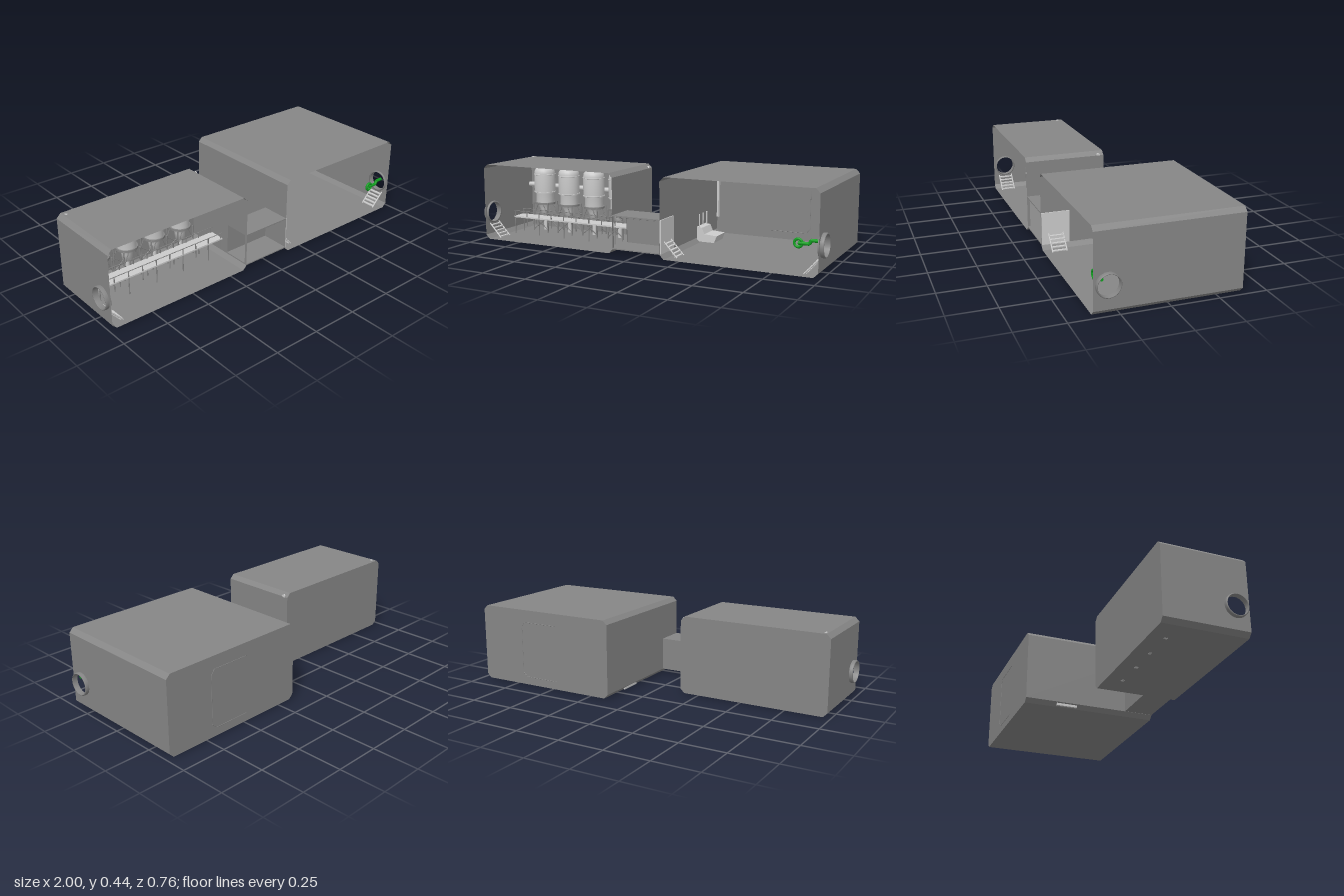
import * as THREE from 'three';

const light = new THREE.MeshStandardMaterial({ color: 0xcccccc, side: THREE.DoubleSide });
const wallMat = new THREE.MeshStandardMaterial({ color: 0x868686, side: THREE.DoubleSide });
const green = new THREE.MeshStandardMaterial({ color: 0x10a020 });
const V = (x, y, z) => new THREE.Vector3(x, y, z);
const H = 0.43, FRONT = 0.375, C = 0.023, DOOR_Y = 0.147, DOOR_Z = 0.303;

function add(parent, name, geo, mat, x = 0, y = 0, z = 0) {
  const m = new THREE.Mesh(geo, mat);
  m.name = name;
  m.position.set(x, y, z);
  parent.add(m);
  return m;
}
const box = (p, name, w, h, d, x, y, z, mat = light) => add(p, name, new THREE.BoxGeometry(w, h, d), mat, x, y, z);

// Straight round bar between two points
function bar(p, name, a, b, r, mat = light, sides = 8) {
  const m = add(p, name, new THREE.CylinderGeometry(r, r, a.distanceTo(b), sides), mat);
  m.position.copy(a).add(b).multiplyScalar(0.5);
  m.quaternion.setFromUnitVectors(V(0, 1, 0), b.clone().sub(a).normalize());
}
function barPath(p, name, pts, r, mat) {
  for (let i = 1; i < pts.length; i++) bar(p, name, pts[i - 1], pts[i], r, mat);
}

// Flat side wall in the z/y plane, with an optional opening
function sideWall(p, x, zBack, hole) {
  const s = new THREE.Shape();
  s.moveTo(-FRONT, C).lineTo(-zBack, C).lineTo(-zBack, H - C).lineTo(-FRONT, H - C).closePath();
  if (hole) s.holes.push(hole);
  add(p, 'sideWall', new THREE.ShapeGeometry(s, 24), wallMat, x).rotation.y = Math.PI / 2;
}

// Room open at the front, with bevelled long edges and a round outer door
function room(name, x0, x1, zBack, outer, innerHole) {
  const g = new THREE.Group();
  g.name = name;
  const outline = [[x0 + C, 0], [x1 - C, 0], [x1, C], [x1, H - C], [x1 - C, H], [x0 + C, H], [x0, H - C], [x0, C]];
  const depth = FRONT - zBack, midZ = (FRONT + zBack) / 2;
  outline.forEach(([ax, ay], i) => {
    const [bx, by] = outline[(i + 1) % 8];
    if (ax === bx) return;
    const m = add(g, 'shellPanel', new THREE.PlaneGeometry(Math.hypot(bx - ax, by - ay), depth).rotateX(-Math.PI / 2),
      wallMat, (ax + bx) / 2, (ay + by) / 2, midZ);
    m.rotation.z = Math.atan2(by - ay, bx - ax);
  });
  const back = new THREE.Shape(outline.map(([x, y]) => new THREE.Vector2(x, y)));
  add(g, 'backWall', new THREE.ShapeGeometry(back), wallMat, 0, 0, zBack);
  const round = new THREE.Path();
  round.absarc(-DOOR_Z, DOOR_Y, 0.056, 0, Math.PI * 2);
  sideWall(g, outer > 0 ? x1 : x0, zBack, round);
  sideWall(g, outer > 0 ? x0 : x1, zBack, innerHole);

  // Round door frame
  const ring = new THREE.LatheGeometry([[0.056, -0.01], [0.062, -0.01], [0.062, 0.016], [0.059, 0.02], [0.056, 0.02], [0.056, -0.01]]
    .map(q => new THREE.Vector2(...q)), 24);
  add(g, 'doorFrame', ring, wallMat, outer * 0.98, DOOR_Y, DOOR_Z).rotation.z = -outer * Math.PI / 2;
  stairs(g, outer * 0.975, -outer, DOOR_Z);
  return g;
}

// Short flight of steps descending from a door
function stairs(p, x, dir, z) {
  for (let i = 0; i < 5; i++)
    box(p, 'step', 0.015, 0.005, 0.08, x + dir * (0.01 + i * 0.014), 0.075 - i * 0.016, z);
  for (const s of [-1, 1])
    bar(p, 'stairStringer', V(x, 0.085, z + s * 0.04), V(x + dir * 0.075, 0.005, z + s * 0.04), 0.004);
}

// Tank standing on a braced frame
function tank(p, x, z) {
  const g = new THREE.Group();
  g.name = 'tank';
  g.position.set(x, 0, z);
  const profile = [[0, 0.09], [0.026, 0.09], [0.03, 0.13], [0.048, 0.165], [0.053, 0.17], [0.053, 0.225], [0.062, 0.23],
    [0.062, 0.345], [0.058, 0.365], [0.048, 0.377], [0.035, 0.383], [0, 0.385]].map(q => new THREE.Vector2(...q));
  add(g, 'tankBody', new THREE.LatheGeometry(profile, 24), light);
  for (const y of [0.235, 0.34])
    add(g, 'tankBand', new THREE.TorusGeometry(0.062, 0.003, 6, 24).rotateX(Math.PI / 2), light, 0, y);
  add(g, 'collar', new THREE.CylinderGeometry(0.06, 0.06, 0.012, 24), wallMat, 0, 0.166);
  for (const sx of [-1, 1]) for (const sz of [-1, 1]) {
    bar(g, 'frameLeg', V(sx * 0.05, 0, sz * 0.05), V(sx * 0.05, 0.17, sz * 0.05), 0.004, wallMat);
    bar(g, 'frameBrace', V(sx * 0.05, 0.01, sz * 0.05), V(-sx * 0.05, 0.09, sz * 0.05), 0.0025, wallMat, 6);
    bar(g, 'frameBrace', V(sx * 0.05, 0.09, sz * 0.05), V(sx * 0.02, 0.16, sz * 0.05), 0.0025, wallMat, 6);
  }
  bar(g, 'drainPipe', V(0, 0, 0), V(0, 0.1, 0), 0.012, light, 12);
  p.add(g);
}

export function createModel() {
  const model = new THREE.Group();

  // Tank room
  const doorway = new THREE.Path();
  doorway.moveTo(-0.36, 0.03).lineTo(-0.22, 0.03).lineTo(-0.22, 0.2).lineTo(-0.36, 0.2).closePath();
  const tankRoom = room('tankRoom', -0.98, -0.14, -0.08, -1, doorway);
  model.add(tankRoom);
  for (let i = 0; i < 4; i++) tank(tankRoom, -0.82 + i * 0.172, 0.01);
  bar(tankRoom, 'wallPipe', V(-0.98, 0.26, -0.06), V(-0.14, 0.26, -0.06), 0.014, light, 12);
  barPath(tankRoom, 'ceilingPipe', [V(-0.95, 0.425, -0.05), V(-0.91, 0.408, -0.05), V(-0.14, 0.408, -0.05)], 0.011, light);
  box(tankRoom, 'ceilingDuct', 0.36, 0.03, 0.04, -0.55, 0.375, -0.055, wallMat);

  // Catwalk with posts and low rails
  box(tankRoom, 'catwalk', 0.78, 0.008, 0.09, -0.535, 0.1, 0.135);
  for (const z of [0.093, 0.177]) {
    bar(tankRoom, 'catwalkRail', V(-0.925, 0.135, z), V(-0.145, 0.135, z), 0.002, wallMat, 6);
    for (let i = 0; i < 10; i++)
      bar(tankRoom, 'catwalkPost', V(-0.92 + i * 0.085, i % 2 ? 0.05 : 0, z), V(-0.92 + i * 0.085, 0.135, z), 0.003, wallMat, 6);
  }

  // Connecting corridor
  const corridor = new THREE.Group();
  corridor.name = 'corridor';
  model.add(corridor);
  const mz = (0.21 + FRONT) / 2, cd = FRONT - 0.21;
  box(corridor, 'corridorRoof', 0.28, 0.006, cd, 0, 0.205, mz, wallMat);
  box(corridor, 'corridorFloor', 0.28, 0.006, cd, 0, 0.027, mz, wallMat);
  box(corridor, 'corridorBack', 0.28, 0.184, 0.004, 0, 0.116, 0.212, wallMat);
  for (let i = 0; i < 6; i++) box(corridor, 'roofRib', 0.005, 0.008, cd - 0.01, -0.1 + i * 0.04, 0.198, mz, wallMat);

  // Large room
  const hall = room('largeRoom', 0.14, 0.98, -0.38, 1);
  model.add(hall);
  box(hall, 'innerDoor', 0.006, 0.18, 0.155, 0.144, 0.115, 0.295);
  stairs(hall, 0.147, 1, 0.295);
  box(hall, 'wallStrip', 0.012, 0.3, 0.02, 0.155, 0.25, -0.36);

  // Rounded panel seam, showing on both faces of the back wall
  barPath(hall, 'panelSeam', [V(0.48, 0.36, -0.38), V(0.69, 0.36, -0.38), V(0.71, 0.335, -0.38), V(0.71, 0.07, -0.38),
    V(0.685, 0.045, -0.38), V(0.48, 0.045, -0.38)], 0.0015, wallMat);

  // Console by the inner wall
  const side = new THREE.Shape([[0.145, 0.005], [0.25, 0.005], [0.265, 0.045], [0.19, 0.05], [0.175, 0.085], [0.145, 0.09]]
    .map(q => new THREE.Vector2(...q)));
  add(hall, 'console', new THREE.ExtrudeGeometry(side, { depth: 0.12, bevelEnabled: false }), light, 0, 0, -0.2);
  for (let i = 0; i < 3; i++) bar(hall, 'consolePost', V(0.155, 0.08, -0.19 + i * 0.05), V(0.155, 0.16, -0.19 + i * 0.05), 0.004);

  // Green pipework
  barPath(hall, 'greenCeilingPipe', [V(0.66, 0.42, -0.36), V(0.68, 0.405, -0.36), V(0.86, 0.405, -0.36), V(0.965, 0.32, -0.36),
    V(0.972, 0.1, -0.36)], 0.005, green);
  for (let i = 0; i < 5; i++)
    bar(hall, 'greenRiser', V(0.87 + i * 0.022, 0.395 - i * 0.018, -0.36), V(0.87 + i * 0.022, 0.422 - (i > 3 ? 0.01 : 0), -0.36), 0.003, green);
  barPath(hall, 'greenFloorPipe', [V(0.74, 0.01, -0.36), V(0.78, 0.02, -0.36), V(0.91, 0.02, -0.36)], 0.005, green);
  barPath(hall, 'greenDoorPipe', [V(0.865, 0.152, 0.33), V(0.92, 0.152, 0.33), V(0.93, 0.17, 0.33), V(0.97, 0.17, 0.33)], 0.009, green);
  add(hall, 'greenValve', new THREE.TorusGeometry(0.02, 0.007, 8, 20), green, 0.865, 0.152, 0.33);

  return model;
}
